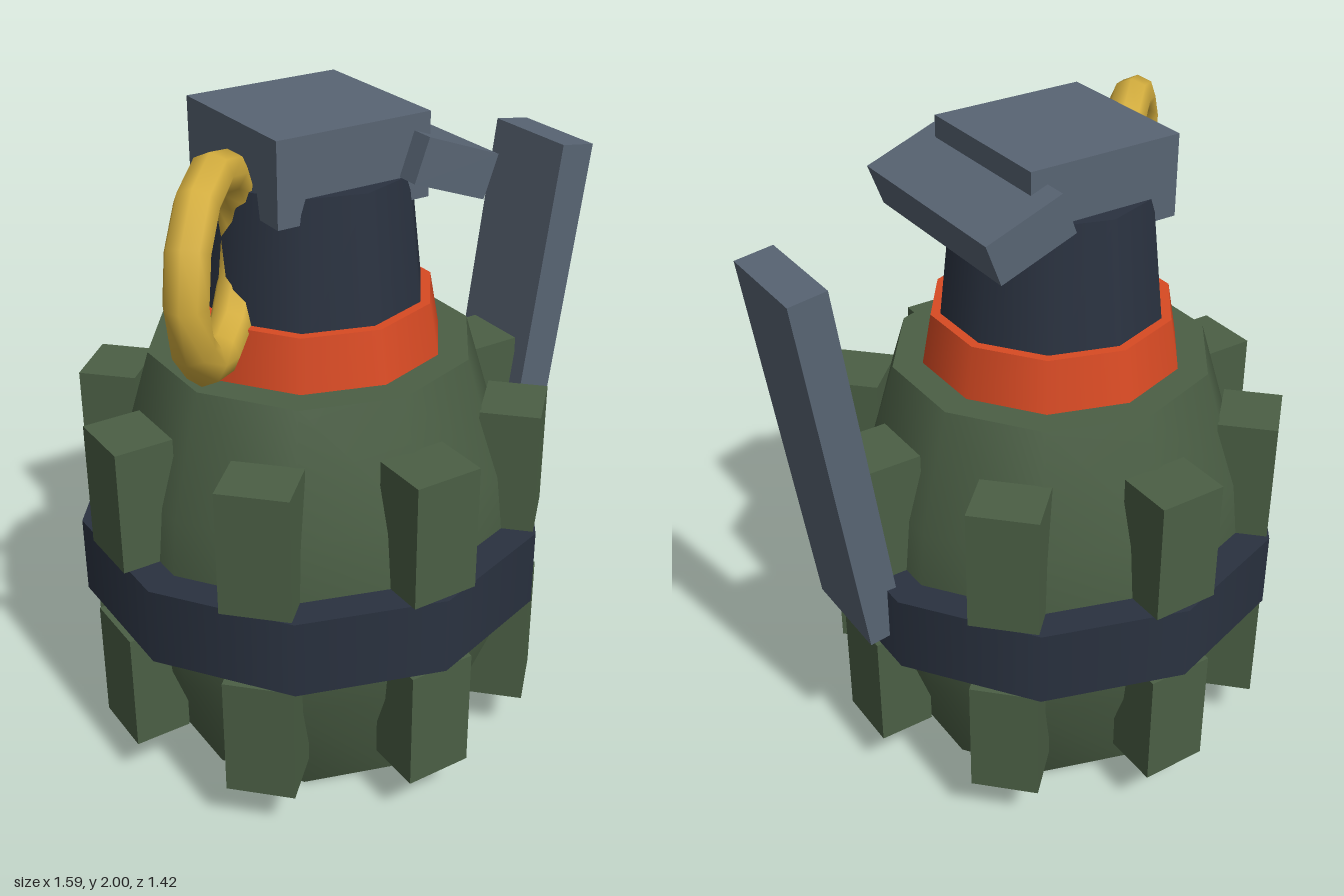
import * as THREE from 'three';
import { toCreasedNormals } from 'three/addons/utils/BufferGeometryUtils.js';

const SIDES = 10;
const AXIS_X = -0.105;

export function createModel() {
  const mat = (name, color) => {
    const m = new THREE.MeshStandardMaterial({ color });
    m.name = name;
    return m;
  };
  const green = mat('olive green', 0x4b5f45);
  const dark = mat('dark blue grey', 0x2a3240);
  const steel = mat('steel grey', 0x586473);
  const orange = mat('orange', 0xd84a23);
  const brass = mat('brass', 0xd4ae3e);

  const model = new THREE.Group();
  model.name = 'model';
  const add = (name, geometry, material, x, y, z = 0, parent = model) => {
    const mesh = new THREE.Mesh(geometry, material);
    mesh.name = name;
    mesh.position.set(x, y, z);
    parent.add(mesh);
    return mesh;
  };
  const drum = (name, rTop, rBottom, y0, y1, material) =>
    add(name, new THREE.CylinderGeometry(rTop, rBottom, y1 - y0, SIDES), material, AXIS_X, (y0 + y1) / 2);

  // Barrel-shaped body
  const profile = [[0, 0], [0.45, 0], [0.59, 0.38], [0.62, 0.66], [0.59, 0.95], [0.48, 1.31], [0, 1.31]]
    .map(([r, y]) => new THREE.Vector2(r, y));
  add('body', toCreasedNormals(new THREE.LatheGeometry(profile, SIDES), 0.7), green, AXIS_X, 0);

  // Two rings of eight raised blocks
  const blockGeometry = new THREE.BoxGeometry(0.205, 0.38, 0.175);
  for (const [row, y] of [['lower', 0.35], ['upper', 0.97]]) {
    const ring = new THREE.Group();
    ring.name = row + 'Blocks';
    ring.position.set(AXIS_X, y, 0);
    for (let i = 0; i < 8; i++) {
      const a = (i * Math.PI) / 4;
      const block = add('block', blockGeometry, green, Math.sin(a) * 0.603, 0, Math.cos(a) * 0.603, ring);
      block.rotation.y = a;
    }
    model.add(ring);
  }

  // Waist band, collar and neck
  drum('waistBand', 0.708, 0.708, 0.54, 0.78, dark);
  drum('collar', 0.362, 0.39, 1.31, 1.465, orange);
  drum('neck', 0.292, 0.34, 1.4, 1.83, dark);

  // Cap block, tilted hinge plate and long lever
  add('cap', new THREE.BoxGeometry(0.48, 0.24, 0.48), steel, -0.11, 1.88);
  add('hingePlate', new THREE.BoxGeometry(0.25, 0.13, 0.62), steel, 0.172, 1.85).rotation.z = -0.36;
  add('lever', new THREE.BoxGeometry(0.116, 1.175, 0.314), steel, 0.656, 1.194).rotation.z = -0.14;

  // Pull ring
  add('pullRing', new THREE.TorusGeometry(0.25, 0.06, 8, 12), brass, -0.515, 1.68, 0.195).rotation.y = Math.PI / 4;

  return model;
}
